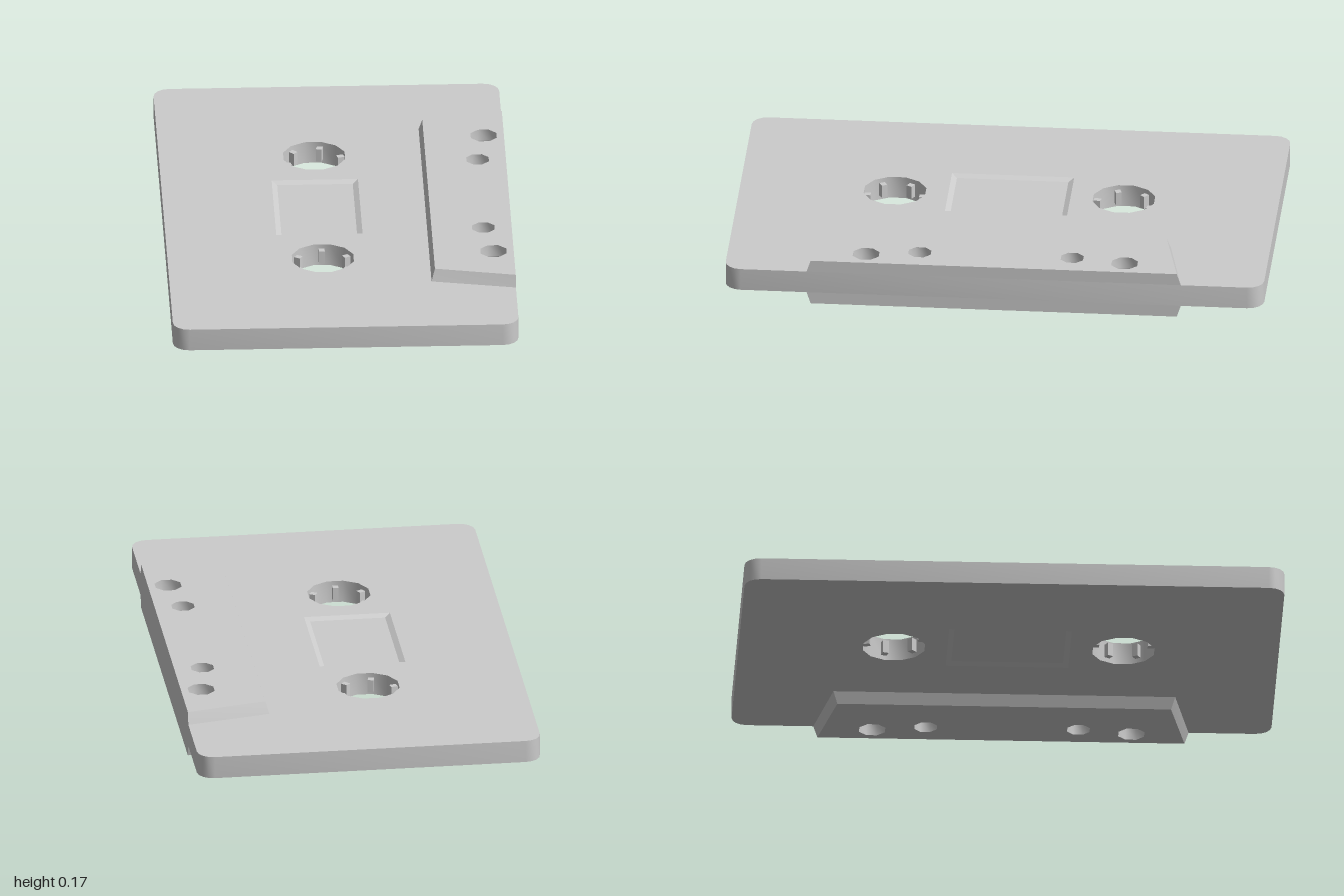
import * as THREE from 'three';
import { toCreasedNormals } from 'three/addons/utils/BufferGeometryUtils.js';

const MID = 0.0875;        // mid-plane height
const HALF = 0.0425;       // half thickness of the flat shell
const RAISE = 0.045;       // extra height of the thick edge
const REEL = { x: -0.065, z: 0.425, r: 0.118 };
const WINDOW = { x: -0.07, w: 0.16, d: 0.227, inset: 0.02, depth: 0.01 };
const CREASE = 0.85;

const material = new THREE.MeshStandardMaterial({ color: 0xcccccc });

function mesh(geometry, name) {
  const m = new THREE.Mesh(geometry, material);
  m.name = name;
  return m;
}

// Regular polygon path with flat sides facing the axes
function polygon(x, y, r, sides) {
  const pts = [];
  for (let i = 0; i < sides; i++) {
    const a = ((i + 0.5) / sides) * Math.PI * 2;
    pts.push(new THREE.Vector2(x + r * Math.cos(a), y + r * Math.sin(a)));
  }
  return new THREE.Path(pts);
}

// Four guide holes through the thick edge
function guideHoles() {
  return [-1, 1].flatMap((s) => [
    polygon(0.565, s * 0.48, 0.052, 8),
    polygon(0.535, s * 0.283, 0.045, 8),
  ]);
}

// Extrude a plan shape upward from y = 0
function extrudeUp(shape, depth) {
  return new THREE.ExtrudeGeometry(shape, { depth, bevelEnabled: false, curveSegments: 2 }).rotateX(-Math.PI / 2);
}

// Flat shell with rounded corners, reel holes, guide holes and window opening
function shellGeometry() {
  const w = 0.64, d = 1, r = 0.06;
  const s = new THREE.Shape();
  s.absarc(w - r, d - r, r, 0, Math.PI / 2);
  s.absarc(-w + r, d - r, r, Math.PI / 2, Math.PI);
  s.absarc(-w + r, -d + r, r, Math.PI, Math.PI * 1.5);
  s.absarc(w - r, -d + r, r, Math.PI * 1.5, Math.PI * 2);
  const { x, w: ww, d: wd } = WINDOW;
  s.holes = [
    ...guideHoles(),
    polygon(REEL.x, REEL.z, REEL.r, 12),
    polygon(REEL.x, -REEL.z, REEL.r, 12),
    new THREE.Path([[x - ww, -wd], [x + ww, -wd], [x + ww, wd], [x - ww, wd]].map((p) => new THREE.Vector2(...p))),
  ];
  return toCreasedNormals(extrudeUp(s, HALF * 2).translate(0, -HALF, 0), CREASE);
}

// Thick edge: trapezoid whose outer sides lean inward toward the top
function thickEdgeGeometry() {
  const s = new THREE.Shape(
    [[0.33, -0.633], [0.64, -0.695], [0.64, 0.695], [0.33, 0.633]].map((p) => new THREE.Vector2(...p)));
  s.holes = guideHoles();
  const g = extrudeUp(s, RAISE);
  const p = g.attributes.position;
  for (let i = 0; i < p.count; i++) {
    const x = p.getX(i), z = p.getZ(i);
    if (p.getY(i) < RAISE / 2 || (x > 0.34 && x < 0.63)) continue;
    if (x < 0.34) p.setX(i, x + 0.013);
    p.setZ(i, z - Math.sign(z) * 0.015);
  }
  return toCreasedNormals(g.translate(0, HALF, 0), CREASE);
}

// Shallow window: sloped border around a sunken panel
function windowGeometry() {
  const { x, w, d, inset, depth } = WINDOW;
  const ring = (k, y) => [[-1, 1], [1, 1], [1, -1], [-1, -1]]
    .map(([sx, sz]) => [x + sx * (w - k), y, sz * (d - k)]);
  const pos = [...ring(0, HALF), ...ring(inset, HALF - depth)].flat();
  const index = [4, 5, 6, 4, 6, 7];
  for (let i = 0; i < 4; i++) {
    const j = (i + 1) % 4;
    index.push(i, j, j + 4, i, j + 4, i + 4);
  }
  const g = new THREE.BufferGeometry();
  g.setAttribute('position', new THREE.Float32BufferAttribute(pos, 3));
  g.setIndex(index);
  return toCreasedNormals(g, 0.05);
}

// Six drive teeth around one reel hole
function reelTeeth(z, turn, name) {
  const group = new THREE.Group();
  group.name = name;
  group.position.set(REEL.x, 0, z);
  for (let i = 0; i < 6; i++) {
    const a = turn + (i * Math.PI) / 3;
    const tooth = mesh(new THREE.BoxGeometry(0.022, 0.05, 0.026), 'driveTooth');
    tooth.position.set(Math.sin(a) * 0.103, 0, -Math.cos(a) * 0.103);
    tooth.rotation.y = -a;
    group.add(tooth);
  }
  return group;
}

export function createModel() {
  const model = new THREE.Group();
  model.name = 'cassette';
  const body = new THREE.Group();
  body.name = 'body';
  body.position.y = MID;
  model.add(body);

  body.add(mesh(shellGeometry(), 'shell'));
  body.add(reelTeeth(-REEL.z, 0.23, 'backReelTeeth'), reelTeeth(REEL.z, 0, 'frontReelTeeth'));

  // The same raised edge and window on both faces
  const edge = thickEdgeGeometry(), pane = windowGeometry();
  for (const side of ['upper', 'lower']) {
    const face = new THREE.Group();
    face.name = side + 'Face';
    if (side === 'lower') face.rotation.x = Math.PI;
    face.add(mesh(edge, side + 'ThickEdge'), mesh(pane, side + 'Window'));
    body.add(face);
  }
  return model;
}
